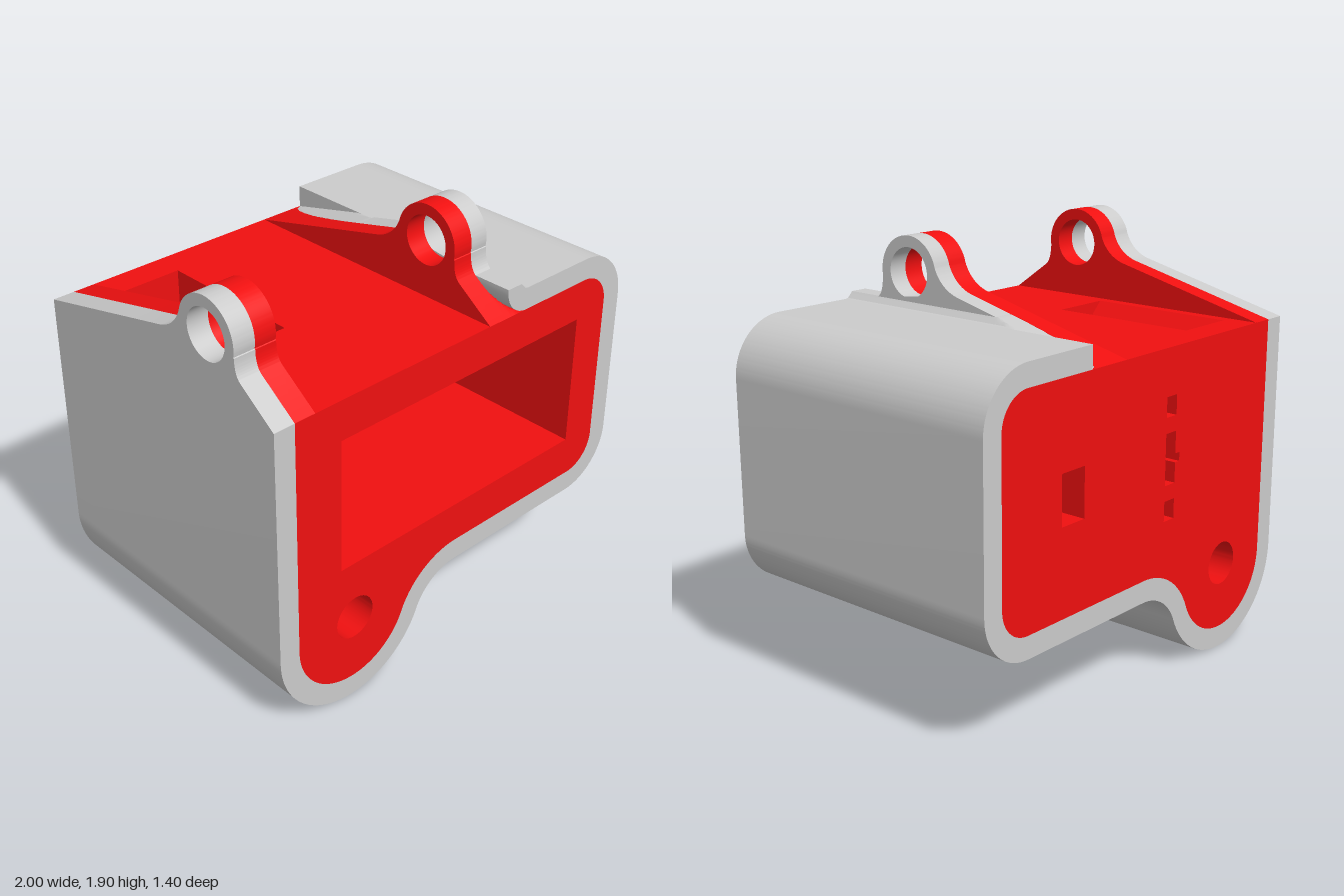
import * as THREE from 'three';
import { toCreasedNormals } from 'three/addons/utils/BufferGeometryUtils.js';

const GREY = new THREE.MeshStandardMaterial({ color: 0xcccccc });
const RED = new THREE.MeshStandardMaterial({ color: 0xf01010 });
const TOP = 1.49, DEPTH = 0.7;

// Housing outline, inset by d from the outer skin; runs from top left round to the top right corner
function outline(d) {
  const p = new THREE.Path();
  const a = Math.atan2(0.25, 0.6);
  p.moveTo(-1 + d, TOP);
  p.lineTo(-1 + d, 0.4);
  p.absarc(-0.6, 0.4, 0.4 - d, Math.PI, 2 * Math.PI - a, false);
  p.absarc(0, 0.15, 0.25 + d, Math.PI - a, Math.PI / 2, true);
  p.absarc(0.75, 0.65, 0.25 - d, -Math.PI / 2, 0, false);
  p.absarc(0.75, 1.34, 0.25 - d, 0, Math.PI / 2, false);
  return p.getPoints(24);
}

const vecs = (list) => list.map(([x, y]) => new THREE.Vector2(x, y));
const rect = (x0, x1, y0, y1) => new THREE.Path(vecs([[x0, y0], [x1, y0], [x1, y1], [x0, y1]]));
const circle = (x, y, r) => new THREE.Path().absarc(x, y, r, 0, Math.PI * 2, true);

function add(group, name, geometry, material) {
  const mesh = new THREE.Mesh(toCreasedNormals(geometry, 0.5), material);
  mesh.name = name;
  group.add(mesh);
}

function extrude(shape, z0, z1) {
  return new THREE.ExtrudeGeometry(shape, { depth: z1 - z0, bevelEnabled: false, curveSegments: 32 })
    .translate(0, 0, z0);
}

// Side profile of a lug, extruded across x; the full one runs down to the housing top
function lug(x0, x1, full) {
  const s = new THREE.Shape();
  if (full) s.moveTo(DEPTH, TOP).lineTo(0.52, 1.62);
  else s.moveTo(0.52, 1.62);
  s.quadraticCurveTo(0.49, 1.645, 0.49, 1.71);
  s.absarc(0.33, 1.745, 0.16, -0.2, 2.9, false);
  s.quadraticCurveTo(0.14, 1.7, 0.05, 1.674);
  s.lineTo(-0.17, 1.62);
  if (full) s.lineTo(-DEPTH, TOP);
  s.holes.push(circle(0.33, 1.745, 0.11));
  return extrude(s, 0, x1 - x0).rotateY(-Math.PI / 2).translate(x1, 0, 0);
}

// Strip beside the right lug, between two height rules of (x, z)
function strip(bottom, top) {
  const g = new THREE.BoxGeometry(1, 1, 2 * DEPTH, 14, 1, 70);
  const p = g.attributes.position;
  for (let i = 0; i < p.count; i++) {
    const x = 0.25 + 0.12 * (1 - Math.cos((p.getX(i) + 0.5) * Math.PI / 2));
    const rule = p.getY(i) > 0 ? top : bottom;
    p.setXYZ(i, x, rule(x, p.getZ(i)), p.getZ(i));
  }
  return g;
}

export function createModel() {
  const model = new THREE.Group();
  const inner = outline(0.1);
  const bore = () => circle(-0.595, 0.41, 0.1);
  const block = (holes, z0, z1) => {
    const s = new THREE.Shape(inner);
    s.holes.push(bore(), ...holes);
    return extrude(s, z0, z1);
  };

  // Red core: back wall with slots, notched middle, front section
  const slots = [
    rect(-0.205, -0.135, 1.19, 1.28),
    rect(-0.205, -0.135, 0.73, 0.82),
    rect(0.41, 0.55, 0.89, 1.11),
    new THREE.Path(vecs([[-0.205, 0.89], [-0.135, 0.89], [-0.135, 1.12], [-0.205, 1.12],
      [-0.205, 1.02], [-0.235, 1.02], [-0.235, 0.98], [-0.205, 0.98]])),
  ];
  add(model, 'slottedBackWall', block(slots, -DEPTH, -0.56), RED);
  const notched = new THREE.Shape([...inner, ...vecs([[-0.46, TOP], [-0.46, 1.31], [0.72, 1.31],
    [0.72, 0.69], [-0.67, 0.69], [-0.67, 1.36], [-0.69, 1.43], [-0.75, TOP]])]);
  notched.holes.push(bore());
  add(model, 'coreWithTopOpening', extrude(notched, -0.56, 0.14), RED);
  add(model, 'coreFront', block([rect(-0.67, 0.72, 0.69, 1.31)], 0.14, DEPTH), RED);

  // Grey outer shell
  const shell = new THREE.Shape([...outline(0), ...vecs([[0.37, 1.59], [0.37, TOP]]), ...inner.slice().reverse()]);
  add(model, 'outerShell', extrude(shell, -DEPTH, DEPTH), GREY);

  // Pierced lugs on both sides
  add(model, 'rightLugSkin', lug(-1, -0.9, true), GREY);
  add(model, 'rightLugCore', lug(-0.9, -0.8, true), RED);
  add(model, 'leftLugCore', lug(0.15, 0.25, true), RED);
  add(model, 'leftLugSkin', lug(0.25, 0.34, false), GREY);

  // Curved lip joining the shell to the left lug, trimmed along the lug's slope
  const fillet = (x) => 1.61 - Math.sqrt(Math.max(0, 0.0144 - (0.37 - x) ** 2));
  const lipTop = (x) => x < 0.34 ? 1.62 : 1.62 - Math.sqrt(Math.max(0, 0.0009 - (0.37 - x) ** 2));
  const slope = (z) => Math.min(1.62, TOP + 0.245 * (z + DEPTH));
  const coreSlope = (z) => z > 0.52 ? 1.62 - (z - 0.52) * 0.13 / 0.18 : slope(z);
  const sunk = (x, z) => slope(z) < fillet(x) ? slope(z) - 0.004 : null;
  add(model, 'filletUnderLip', strip(() => TOP - 0.01, (x, z) => Math.min(fillet(x), coreSlope(z))), RED);
  add(model, 'shellLip', strip(
    (x, z) => sunk(x, z) ?? fillet(x),
    (x, z) => sunk(x, z) ?? Math.min(lipTop(x), slope(z))), GREY);

  return model;
}
